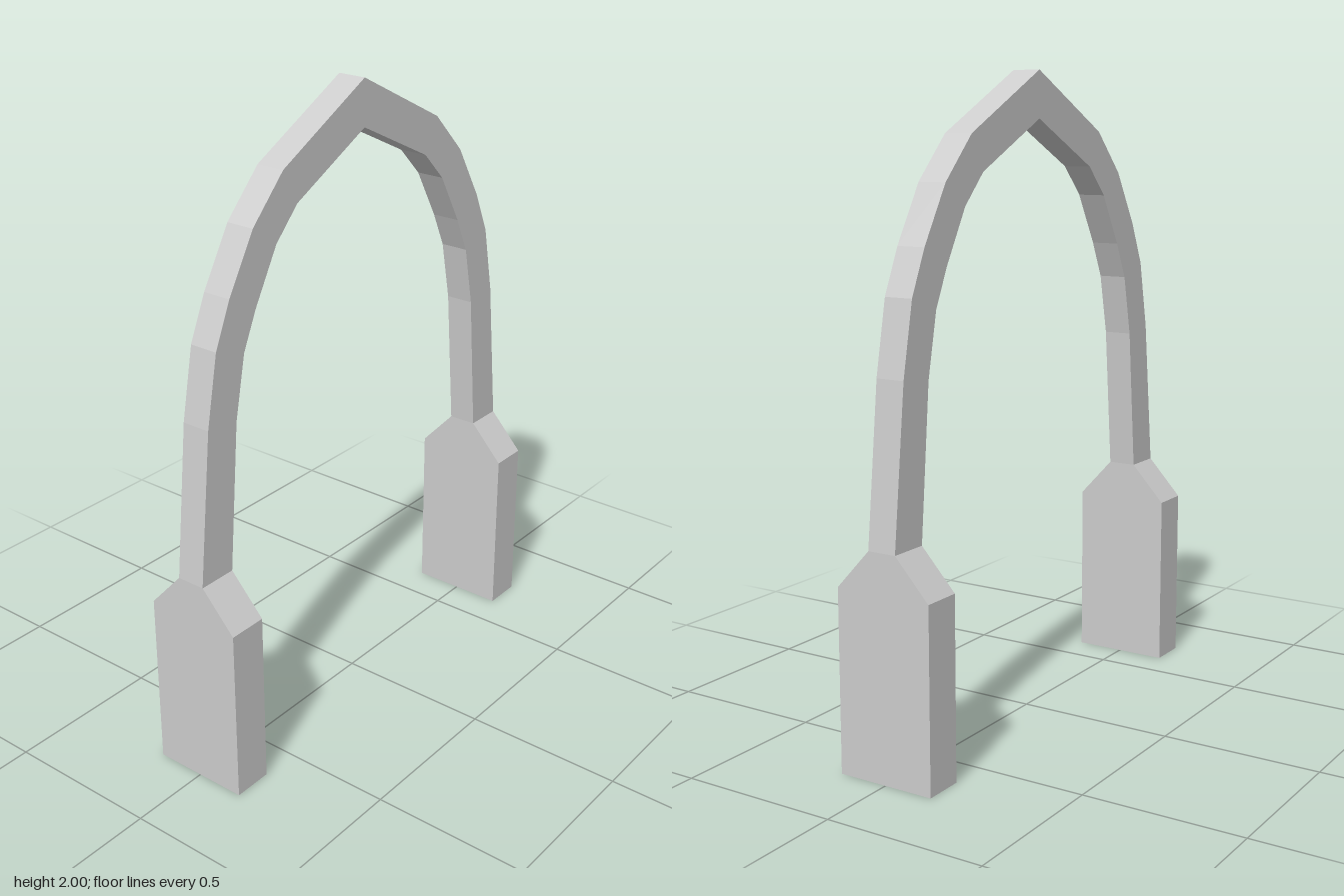
import * as THREE from 'three';

// Half profile from foot to apex: outer x, outer y, inner x, inner y, half depth
const HALF = [
  [0.745, 0, 0.62, 0, 0.157],
  [0.745, 0.557, 0.62, 0.557, 0.157],
  [0.745, 0.678, 0.62, 0.678, 0.046],
  [0.695, 1.155, 0.58, 1.14, 0.046],
  [0.652, 1.375, 0.54, 1.335, 0.046],
  [0.592, 1.51, 0.487, 1.45, 0.046],
  [0.49, 1.682, 0.395, 1.612, 0.046],
  [0.36, 1.815, 0.303, 1.706, 0.046],
  [0, 2, 0, 1.856, 0.046],
];

// Four-sided tube with open ends through rectangular sections
function skin(name, sections, material) {
  const rings = sections.map(([ox, oy, ix, iy, d]) => [
    [ox, oy, d], [ox, oy, -d], [ix, iy, -d], [ix, iy, d],
  ]);
  const positions = [];
  for (let i = 0; i < rings.length - 1; i++) {
    for (let j = 0; j < 4; j++) {
      const k = (j + 1) % 4;
      const a = rings[i][j], b = rings[i][k], c = rings[i + 1][k], d = rings[i + 1][j];
      for (const p of [a, b, c, a, c, d]) positions.push(...p);
    }
  }
  const geometry = new THREE.BufferGeometry();
  geometry.setAttribute('position', new THREE.Float32BufferAttribute(positions, 3));
  geometry.computeVertexNormals();
  const mesh = new THREE.Mesh(geometry, material);
  mesh.name = name;
  return mesh;
}

export function createModel() {
  const group = new THREE.Group();
  group.name = 'pointedArch';
  const material = new THREE.MeshStandardMaterial({
    color: 0xcccccc, flatShading: true, side: THREE.DoubleSide,
  });

  // Full path: up the left side, over the apex, down the mirrored right side
  const mirrored = HALF.slice(0, -1).reverse().map(([ox, oy, ix, iy, d]) => [-ox, oy, -ix, iy, d]);
  const path = [...HALF, ...mirrored];

  // Wide hollow feet with shoulders, joined by the slim arch
  group.add(
    skin('leftFoot', path.slice(0, 3), material),
    skin('archBand', path.slice(2, -2), material),
    skin('rightFoot', path.slice(-3), material),
  );
  return group;
}
